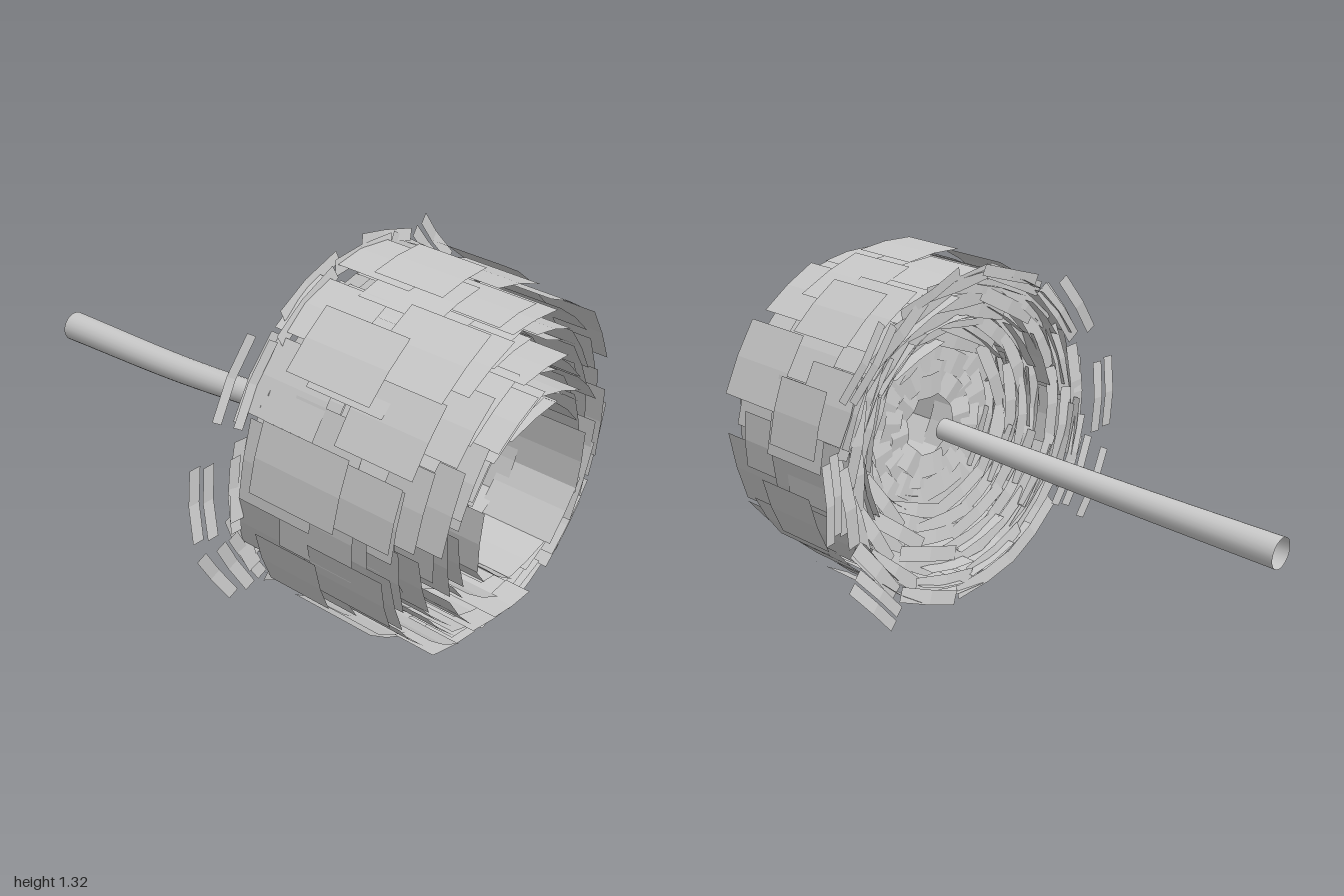
import * as THREE from 'three';
import { mergeGeometries } from 'three/addons/utils/BufferGeometryUtils.js';

const CENTRE_Y = 0.66;

export function createModel() {
  const flower = new THREE.Group();
  flower.name = 'flower';
  const petalMaterial = new THREE.MeshStandardMaterial({ color: 0xcccccc, flatShading: true, side: THREE.DoubleSide });
  const stemMaterial = new THREE.MeshStandardMaterial({ color: 0xcccccc, side: THREE.DoubleSide });

  // Small seeded generator for natural variation, from -amount to amount
  let seed = 7;
  const vary = (amount) => {
    seed = (seed * 16807) % 2147483647;
    return amount * (2 * seed / 2147483647 - 1);
  };

  // A rectangle from (r0, z0) to (r1, z1), its sides folded by bendR and bendZ, turned about the flower axis
  function petal(angle, width, r0, z0, r1, z1, bendR, bendZ) {
    const geo = new THREE.PlaneGeometry(width, 1, 2, 1);
    const pos = geo.attributes.position;
    for (let i = 0; i < pos.count; i++) {
      const t = pos.getY(i) + 0.5;
      const side = Math.abs(pos.getX(i)) * 2 / width;
      pos.setXYZ(i, r0 + (r1 - r0) * t - bendR * side, pos.getX(i), z0 + (z1 - z0) * t + bendZ * side);
    }
    return geo.rotateZ(angle);
  }
  const upright = (angle, width, r, z0, z1) => petal(angle, width, r, z0, r, z1, 0.008, 0);
  const strip = (angle, width, r, radial, z) => petal(angle, width, r, z, r + radial, z - 0.006, 0, 0.012);

  function addLayer(name, petals) {
    const mesh = new THREE.Mesh(mergeGeometries(petals), petalMaterial);
    mesh.name = name;
    mesh.position.y = CENTRE_Y;
    flower.add(mesh);
  }

  // Depth of the hollow back: flat in the middle, coming backward towards the rim
  function backDepth(r) {
    if (r < 0.27) return 0.45;
    if (r < 0.52) return 0.45 - (r - 0.27) * 0.72;
    return 0.27 - (r - 0.52) * 0.55;
  }

  // Nested rings of upright petals, the inner ones reaching further forward
  const rings = 9;
  for (let k = 0; k < rings; k++) {
    const t = k / (rings - 1);
    const r = 0.28 + 0.32 * t;
    const front = 0.945 - 0.115 * t * t;
    const rows = t < 0.4 ? 2 : 3;
    const length = 0.28;
    const step = (front - backDepth(r) - 0.03 - length) / (rows - 1);
    const count = 8 + Math.round(5 * t);
    const petals = [];
    for (let row = 0; row < rows; row++) {
      for (let i = 0; i < count; i++) {
        const a = (i + row * 0.5 + k * 0.38) / count * Math.PI * 2 + vary(0.07);
        const z1 = front - row * step + vary(0.05);
        petals.push(upright(a, 0.25 + vary(0.04), r + vary(0.018), z1 - length, z1));
      }
    }
    addLayer('petalRing' + (k + 1), petals);
  }

  // A few outermost petals round the widest part
  const outer = [];
  for (let i = 0; i < 10; i++) {
    const a = -Math.PI / 2 + i * Math.PI / 5;
    outer.push(upright(a, 0.24, i % 5 ? 0.632 + vary(0.012) : 0.658, 0.38 + vary(0.04), 0.64 + vary(0.05)));
  }
  addLayer('outerPetals', outer);

  // Overlapping flat strips that close the back, from the central opening to the rim
  const strips = [];
  for (let k = 0; k < 11; k++) {
    const r = 0.11 + k * 0.0455;
    const count = r < 0.3 ? 8 : 12;
    const radial = r < 0.27 ? 0.09 : 0.056;
    for (let i = 0; i < count; i++) {
      const a = (i + k * 0.38) / count * Math.PI * 2 + (k ? vary(0.04) : 0);
      strips.push(strip(a, Math.min(0.3, 0.95 * r + 0.02), r, radial, backDepth(r) + vary(r < 0.27 ? 0.006 : 0.025)));
    }
  }
  addLayer('backStrips', strips);

  // Loose strips fanned out beyond the rim, as [degrees, outermost radius, how many] groups
  const loose = [];
  for (const [degrees, radius, number] of [[0, 0.69, 3], [42, 0.67, 2], [72, 0.598, 1], [108, 0.585, 1],
    [142, 0.645, 2], [179, 0.69, 3], [209, 0.69, 3], [320, 0.685, 3]]) {
    for (let i = 0; i < number; i++) {
      const r = radius - i * 0.053;
      loose.push(strip((degrees + vary(3)) * Math.PI / 180, 0.29, r, 0.042, backDepth(r) + vary(0.02)));
    }
  }
  addLayer('looseStrips', loose);

  // Curved, slightly tapered open stem
  const path = new THREE.CatmullRomCurve3([
    new THREE.Vector3(-0.012, 0.655, 0.4),
    new THREE.Vector3(-0.043, 0.632, 0.15),
    new THREE.Vector3(-0.09, 0.598, -0.4),
    new THREE.Vector3(-0.112, 0.585, -1)]);
  const steps = 20, sides = 20;
  const stemGeo = new THREE.TubeGeometry(path, steps, 0.055, sides, false);
  const pos = stemGeo.attributes.position;
  const v = new THREE.Vector3();
  for (let i = 0; i < pos.count; i++) {
    const u = Math.floor(i / (sides + 1)) / steps;
    const c = path.getPointAt(u);
    v.fromBufferAttribute(pos, i).sub(c).multiplyScalar(0.74 + 0.26 * u).add(c);
    pos.setXYZ(i, v.x, v.y, v.z);
  }
  const stem = new THREE.Mesh(stemGeo, stemMaterial);
  stem.name = 'stem';
  flower.add(stem);

  return flower;
}
